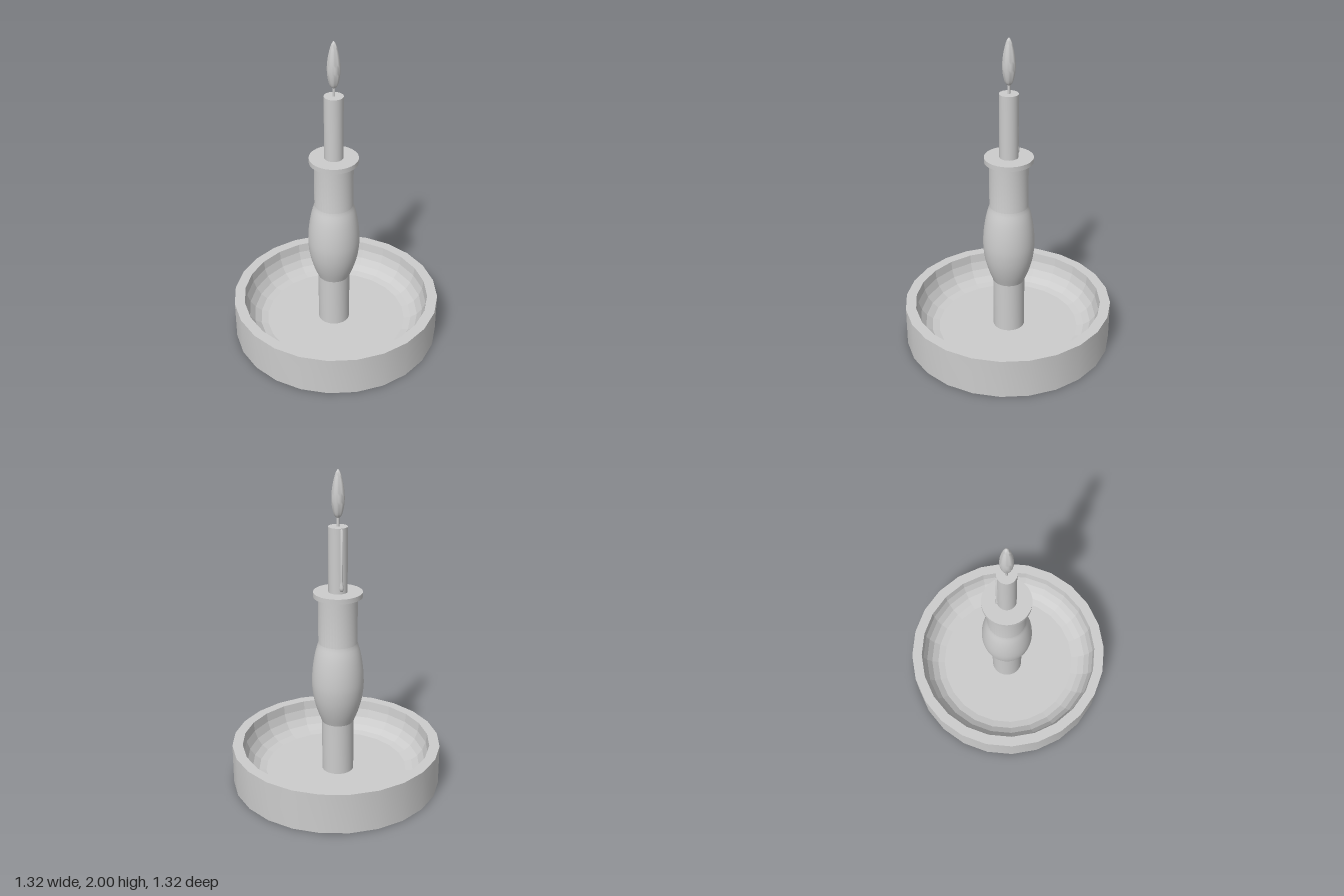
import * as THREE from 'three';
import { toCreasedNormals } from 'three/addons/utils/BufferGeometryUtils.js';

const smooth = new THREE.MeshStandardMaterial({ color: 0xcccccc });
const faceted = new THREE.MeshStandardMaterial({ color: 0xcccccc, flatShading: true });

// Turned part from [radius, height] pairs, listed from bottom to top on the outside
function turned(name, profile, sides, crease = 0.5) {
  const points = profile.map(([r, y]) => new THREE.Vector2(r, y));
  const geometry = toCreasedNormals(new THREE.LatheGeometry(points, sides), crease);
  const mesh = new THREE.Mesh(geometry, smooth);
  mesh.name = name;
  return mesh;
}

export function createModel() {
  const model = new THREE.Group();
  model.name = 'candlestick';

  // Tray: low drum with a flat rim
  model.add(turned('trayWall', [[0, 0], [0.66, 0], [0.66, 0.26], [0.595, 0.26]], 24));

  // Faceted hollow: quarter-round sides curving down to a flat floor
  const hollow = [];
  for (let i = 0; i <= 5; i++) {
    const a = (i / 5) * Math.PI / 2;
    hollow.push([0.45 + 0.145 * Math.cos(a), 0.26 - 0.19 * Math.sin(a)]);
  }
  hollow.push([0, 0.07]);
  const bowl = turned('trayHollow', hollow, 24);
  bowl.material = faceted;
  model.add(bowl);

  // Everything upright shares one axis, a little off the tray centre
  const upright = new THREE.Group();
  upright.name = 'upright';
  upright.position.set(-0.008, 0, -0.011);
  model.add(upright);

  // Stem: neck, swelling belly, socket
  const belly = new THREE.CatmullRomCurve3([
    [0.1, 0.41], [0.127, 0.48], [0.149, 0.56], [0.16, 0.64],
    [0.161, 0.7], [0.155, 0.78], [0.14, 0.87], [0.12, 0.94],
  ].map(([r, y]) => new THREE.Vector3(r, y, 0))).getPoints(20).map((p) => [p.x, p.y]);
  upright.add(turned('stem', [[0.1, 0.06], ...belly, [0.12, 1.24]], 40, 0.3));

  // Drip collar
  upright.add(turned('collar', [[0, 1.235], [0.15, 1.235], [0.15, 1.265], [0, 1.265]], 40));

  // Candle and wick
  upright.add(turned('candle', [[0.058, 1.26], [0.058, 1.665], [0, 1.665]], 32));
  upright.add(turned('wick', [[0.008, 1.66], [0.008, 1.73]], 12));

  // Flame: pointed teardrop
  const flame = new THREE.CatmullRomCurve3([
    [0, 1.713], [0.018, 1.725], [0.032, 1.765], [0.039, 1.82],
    [0.036, 1.88], [0.024, 1.945], [0.011, 1.985], [0, 2],
  ].map(([r, y]) => new THREE.Vector3(r, y, 0))).getPoints(24)
    .map((p) => [Math.max(p.x, 0), p.y]);
  upright.add(turned('flame', flame, 24, 1));

  // Wax run down the back of the candle, ending in a bead
  const drip = turned('waxDrip', [
    [0, 1.278], [0.008, 1.282], [0.013, 1.294], [0.013, 1.306],
    [0.009, 1.325], [0.008, 1.35], [0.008, 1.655], [0, 1.663],
  ], 12, 1);
  drip.position.z = -0.057;
  upright.add(drip);

  return model;
}
